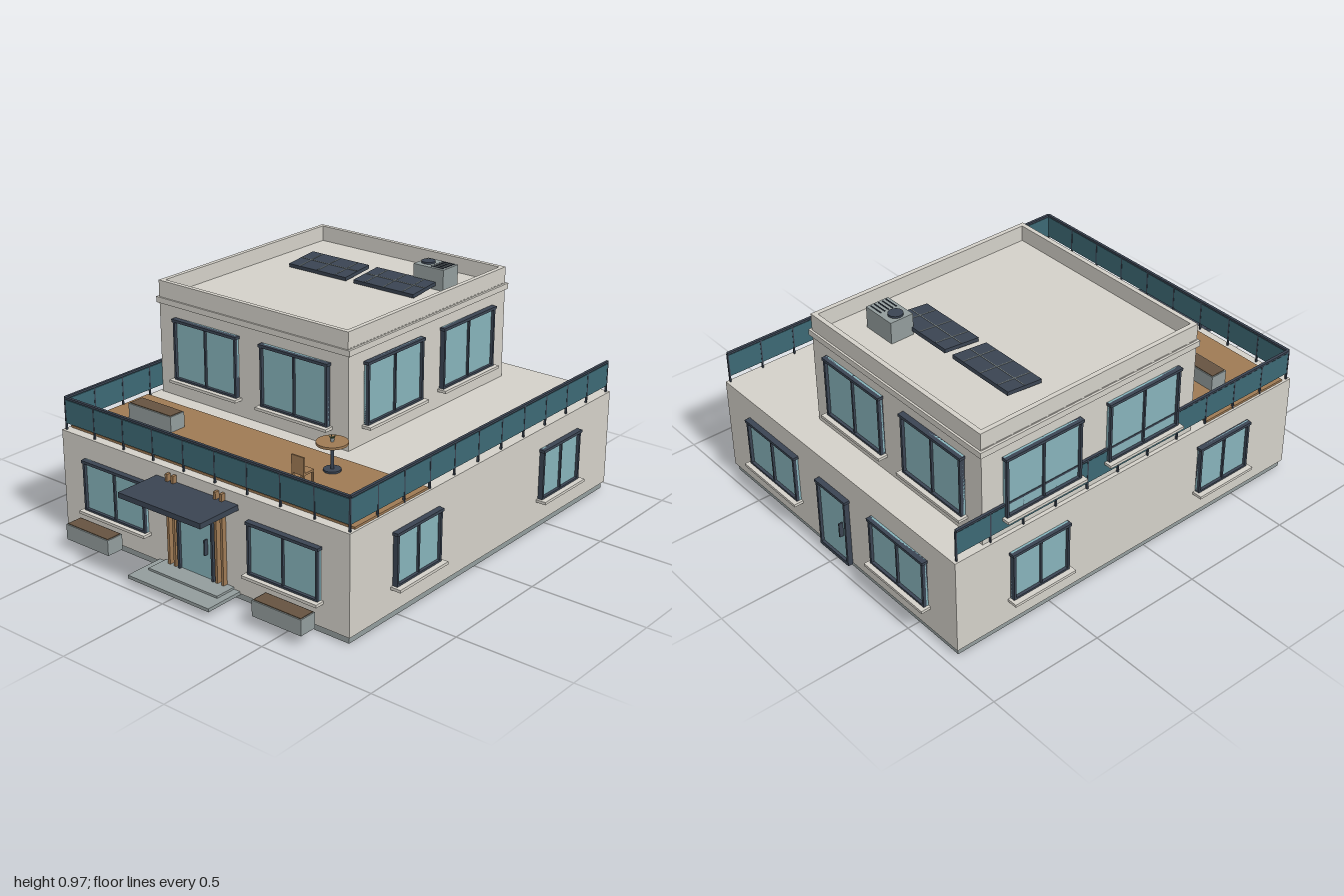
import * as THREE from 'three';

const paint = (name, hex) => {
  const m = new THREE.MeshStandardMaterial({ color: hex });
  m.name = name;
  return m;
};

export function createModel() {
  const wall = paint('wall plaster', 0xd3d0c8);
  const concrete = paint('concrete', 0x929c9c);
  const dark = paint('dark metal', 0x3a4452);
  const glass = paint('window glass', 0x86b2ba);
  const railGlass = paint('railing glass', 0x3c6874);
  const wood = paint('wood', 0x9e7a54);
  const soil = paint('soil', 0x665340);
  const green = paint('plant', 0x4f6b4a);

  const house = new THREE.Group();
  house.name = 'house';

  const add = (parent, name, geo, mat, x = 0, y = 0, z = 0) => {
    const mesh = new THREE.Mesh(geo, mat);
    mesh.name = name;
    mesh.position.set(x, y, z);
    parent.add(mesh);
    return mesh;
  };
  // Box given by its lower and upper limits on each axis
  const box = (parent, name, mat, x0, x1, y0, y1, z0, z1) =>
    add(parent, name, new THREE.BoxGeometry(x1 - x0, y1 - y0, z1 - z0), mat,
      (x0 + x1) / 2, (y0 + y1) / 2, (z0 + z1) / 2);
  const group = (parent, name, x = 0, y = 0, z = 0, turn = 0) => {
    const g = new THREE.Group();
    g.name = name;
    g.position.set(x, y, z);
    g.rotation.y = turn;
    parent.add(g);
    return g;
  };

  // Ground floor
  box(house, 'plinth', concrete, -0.73, 0.73, 0, 0.03, -0.945, 0.785);
  box(house, 'groundFloor', wall, -0.74, 0.74, 0.03, 0.447, -0.955, 0.795);
  box(house, 'terraceDeck', wood, -0.73, 0.73, 0.447, 0.456, 0.32, 0.755);

  // Upper floor with cornice and hollow parapet
  box(house, 'upperFloor', wall, -0.723, 0.283, 0.447, 0.872, -0.815, 0.238);
  box(house, 'cornice', wall, -0.733, 0.293, 0.843, 0.868, -0.825, 0.247);
  const ring = new THREE.Shape([[-0.722, -0.24], [0.282, -0.24], [0.282, 0.816], [-0.722, 0.816]]
    .map(([x, y]) => new THREE.Vector2(x, y)));
  ring.holes.push(new THREE.Path([[-0.702, -0.22], [-0.702, 0.796], [0.262, 0.796], [0.262, -0.22]]
    .map(([x, y]) => new THREE.Vector2(x, y))));
  const parapet = new THREE.ExtrudeGeometry(ring, { depth: 0.072, bevelEnabled: false });
  add(house, 'parapet', parapet.rotateX(-Math.PI / 2), wall, 0, 0.868, 0);

  // Windows: built facing +z, then turned to their wall
  const windowUnit = (x, y, z, w, h, turn, sill) => {
    const g = group(house, 'window', x, y, z, turn);
    box(g, 'windowGlass', glass, -w / 2, w / 2, 0, h, -0.005, 0.009);
    for (const s of [-1, 1]) {
      const e = s * (w / 2 - 0.005);
      box(g, 'frameSide', dark, e - 0.005, e + 0.005, 0, h, 0, 0.022);
    }
    box(g, 'frameTop', dark, -w / 2 - 0.005, w / 2 + 0.005, h - 0.012, h, 0, 0.025);
    box(g, 'frameBottom', dark, -w / 2, w / 2, 0, 0.008, 0, 0.022);
    box(g, 'mullion', dark, -0.004, 0.004, 0, h, 0, 0.018);
    box(g, 'windowSill', wall, -w / 2 - 0.012, w / 2 + 0.012, -0.012, 0, 0, sill);
  };
  const quarter = Math.PI / 2;
  for (const s of [-1, 1]) {
    windowUnit(s * 0.437, 0.14, 0.795, 0.34, 0.217, 0, 0.042);
    windowUnit(s * 0.408, 0.14, -0.955, 0.33, 0.217, Math.PI, 0.042);
    for (const z of [0.406, -0.563])
      windowUnit(s * 0.74, 0.14, z, 0.275, 0.22, s * quarter, 0.045);
    for (const z of [-0.038, -0.537])
      windowUnit(s > 0 ? 0.283 : -0.723, 0.53, z, 0.36, 0.265, s * quarter, 0.042);
  }
  for (const x of [-0.457, 0.018]) {
    windowUnit(x, 0.53, 0.238, 0.345, 0.265, 0, 0.042);
    windowUnit(x, 0.53, -0.815, 0.345, 0.265, Math.PI, 0.042);
  }

  // Front and back doors
  for (const [z, turn] of [[0.795, 0], [-0.955, Math.PI]]) {
    const g = group(house, 'door', 0, 0.035, z, turn);
    box(g, 'doorPanel', glass, -0.09, 0.09, 0, 0.3, -0.005, 0.01);
    for (const s of [-1, 1]) box(g, 'doorJamb', dark, s * 0.088 - 0.005, s * 0.088 + 0.005, 0, 0.305, 0, 0.022);
    box(g, 'doorHead', dark, -0.098, 0.098, 0.294, 0.306, 0, 0.025);
    box(g, 'doorThreshold', dark, -0.093, 0.093, -0.012, 0.004, 0, 0.022);
    box(g, 'doorHandle', dark, 0.052, 0.058, 0.115, 0.18, 0.01, 0.028);
  }

  // Entrance canopy, slats and steps
  box(house, 'canopy', dark, -0.213, 0.21, 0.378, 0.4, 0.795, 1);
  for (const x of [-0.142, -0.111, 0.108, 0.139])
    box(house, 'entranceSlat', wood, x - 0.006, x + 0.006, 0.045, 0.43, 0.795, 0.815);
  box(house, 'upperStep', concrete, -0.18, 0.18, 0.035, 0.048, 0.785, 0.89);
  box(house, 'lowerStep', concrete, -0.213, 0.21, 0.025, 0.039, 0.785, 0.97);

  // Planters
  const planter = (x, y, z, w) => {
    const g = group(house, 'planter', x, y, z);
    box(g, 'planterBox', concrete, -w / 2, w / 2, 0, 0.066, -0.039, 0.039);
    box(g, 'planterSoil', soil, -w / 2 + 0.005, w / 2 - 0.005, 0.066, 0.069, -0.034, 0.034);
  };
  planter(-0.495, 0.045, 0.876, 0.236);
  planter(0.495, 0.045, 0.876, 0.236);
  planter(-0.483, 0.456, 0.518, 0.236);

  // Terrace railing: built along x, then turned for the sides
  const railing = (x, z, length, bays, turn) => {
    const g = group(house, 'railing', x, 0.447, z, turn);
    const h = length / 2;
    box(g, 'railingGlass', railGlass, -h, h, 0.028, 0.128, -0.003, 0.003);
    box(g, 'handrail', dark, -h, h, 0.132, 0.141, -0.006, 0.006);
    for (let i = 0; i <= bays; i++) {
      const p = -h + (length * i) / bays;
      box(g, 'railingPost', dark, p - 0.003, p + 0.003, 0, 0.134, -0.004, 0.004);
    }
  };
  railing(0, 0.78, 1.456, 9, 0);
  for (const s of [-1, 1]) railing(s * 0.728, -0.08, 1.72, 11, quarter);

  // Terrace table with a small plant
  const table = group(house, 'table', 0.36, 0.456, 0.43);
  add(table, 'tableBase', new THREE.CylinderGeometry(0.035, 0.035, 0.008, 20), dark, 0, 0.004, 0);
  add(table, 'tableLeg', new THREE.CylinderGeometry(0.007, 0.007, 0.108, 10), dark, 0, 0.058, 0);
  add(table, 'tableTop', new THREE.CylinderGeometry(0.063, 0.063, 0.01, 28), wood, 0, 0.115, 0);
  add(table, 'plantPot', new THREE.CylinderGeometry(0.009, 0.007, 0.014, 10), concrete, 0, 0.127, 0);
  for (let i = 0; i < 5; i++) {
    const a = (i / 5) * Math.PI * 2;
    const leaf = add(table, 'leaf', new THREE.ConeGeometry(0.004, 0.026, 5), green,
      Math.cos(a) * 0.009, 0.138, Math.sin(a) * 0.009);
    leaf.rotation.set(Math.sin(a) * 0.9, 0, -Math.cos(a) * 0.9);
  }

  // Terrace chair
  const chair = group(house, 'chair', 0.36, 0.456, 0.602);
  box(chair, 'chairSeat', wood, -0.03, 0.03, 0.055, 0.064, -0.03, 0.03);
  box(chair, 'chairBack', wood, -0.03, 0.03, 0.064, 0.128, 0.023, 0.03);
  for (const x of [-0.026, 0.026]) for (const z of [-0.026, 0.026])
    box(chair, 'chairLeg', wood, x - 0.004, x + 0.004, 0, 0.055, z - 0.004, z + 0.004);

  // Solar panels with pale grid lines
  for (const x of [-0.4, -0.042]) {
    const g = group(house, 'solarPanel', x, 0.89, -0.473);
    g.rotation.x = 0.1;
    box(g, 'panel', dark, -0.157, 0.157, -0.008, 0.008, -0.081, 0.081);
    for (const c of [-0.098, 0, 0.098])
      box(g, 'panelLine', concrete, c - 0.0015, c + 0.0015, 0.008, 0.01, -0.078, 0.078);
    box(g, 'panelLine', concrete, -0.153, 0.153, 0.008, 0.01, -0.0015, 0.0015);
  }

  // Rooftop air unit with fan and louvres
  const unit = group(house, 'airUnit', 0.077, 0.872, -0.598);
  box(unit, 'airUnitCase', concrete, -0.077, 0.077, 0, 0.092, -0.052, 0.052);
  add(unit, 'airUnitFan', new THREE.CylinderGeometry(0.03, 0.03, 0.008, 20), dark, -0.038, 0.096, 0);
  for (let i = -2; i <= 2; i++)
    box(unit, 'airUnitLouvre', dark, 0.004, 0.068, 0.092, 0.095, i * 0.018 - 0.002, i * 0.018 + 0.002);

  return house;
}
